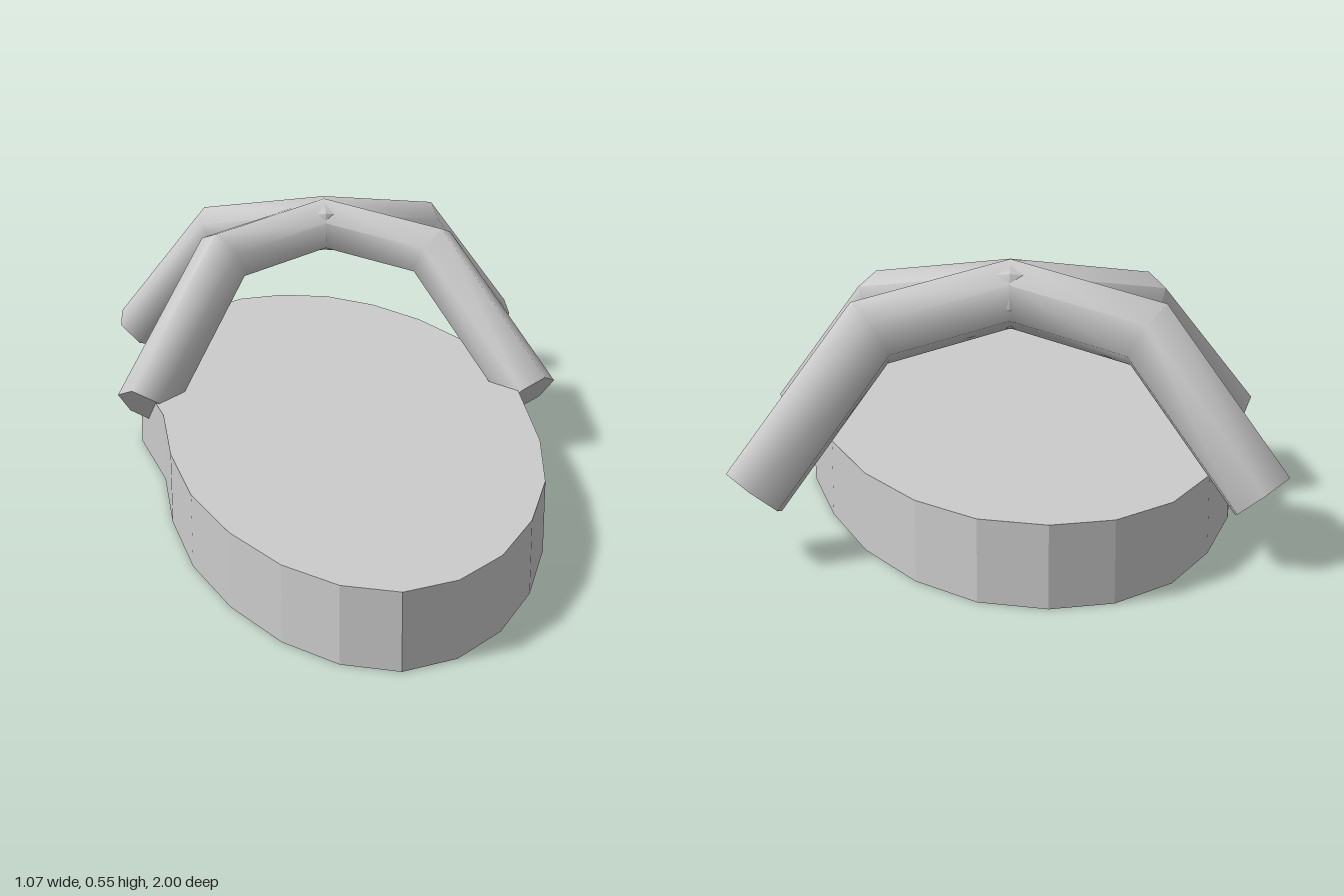
import * as THREE from 'three';
import { toCreasedNormals } from 'three/addons/utils/BufferGeometryUtils.js';

const grey = new THREE.MeshStandardMaterial({ color: 0xcccccc });
const SIDES = 6, RADIUS = 0.07;

// Hexagonal tube along a polyline, with mitred bends and closed ends
function mitredTube(path) {
  const last = path.length - 1;
  const dirs = path.slice(1).map((p, i) => p.clone().sub(path[i]).normalize());
  const u = new THREE.Vector3(0, 1, 0).projectOnPlane(dirs[0]).normalize();
  const v = dirs[0].clone().cross(u);
  const pos = [], index = [];
  let ring = [];
  for (let j = 0; j < SIDES; j++) {
    const a = j / SIDES * Math.PI * 2;
    ring.push(path[0].clone().addScaledVector(u, RADIUS * Math.cos(a)).addScaledVector(v, RADIUS * Math.sin(a)));
  }
  path.forEach((p, i) => {
    if (i > 0) {
      // slide the ring along the segment onto the next mitre plane
      const d = dirs[i - 1];
      const n = i < last ? d.clone().add(dirs[i]).normalize() : d;
      ring = ring.map(q => q.clone().addScaledVector(d, p.clone().sub(q).dot(n) / d.dot(n)));
    }
    ring.forEach(q => pos.push(q.x, q.y, q.z));
    for (let j = 0; i < last && j < SIDES; j++) {
      const a = i * SIDES + j, b = i * SIDES + (j + 1) % SIDES;
      index.push(a, b, b + SIDES, a, b + SIDES, a + SIDES);
    }
  });
  const e = last * SIDES;
  for (let j = 1; j < SIDES - 1; j++) index.push(0, j + 1, j, e, e + j, e + j + 1);
  const geo = new THREE.BufferGeometry();
  geo.setAttribute('position', new THREE.Float32BufferAttribute(pos, 3));
  geo.setIndex(index);
  return toCreasedNormals(geo, 1.1);
}

// Symmetric strap: foot and knee on the left, apex, then mirrored on the right
function strap(name, foot, knee, apex) {
  const path = [foot, knee, apex].map(p => new THREE.Vector3(...p));
  for (const [x, y, z] of [knee, foot]) path.push(new THREE.Vector3(-x, y, z));
  const mesh = new THREE.Mesh(mitredTube(path), grey);
  mesh.name = name;
  return mesh;
}

export function createModel() {
  const group = new THREE.Group();
  group.name = 'sandal';

  // Sole outline (x, z), from the toe round the left side to the heel and back
  const outline = [
    [0, 1], [0.11, 0.96], [0.21, 0.86], [0.3, 0.7], [0.37, 0.5], [0.41, 0.26], [0.425, 0],
    [0.44, -0.26], [0.37, -0.5], [0.28, -0.71], [0.17, -0.87], [0.05, -0.97], [-0.08, -1],
    [-0.2, -0.97], [-0.31, -0.87], [-0.39, -0.71], [-0.45, -0.5], [-0.48, -0.26],
    [-0.425, 0], [-0.41, 0.26], [-0.37, 0.5], [-0.3, 0.7], [-0.21, 0.86], [-0.11, 0.96],
  ];
  const shape = new THREE.Shape(outline.map(([x, z]) => new THREE.Vector2(x, -z)));
  const soleGeo = new THREE.ExtrudeGeometry(shape, { depth: 0.16, bevelEnabled: false });
  soleGeo.rotateX(-Math.PI / 2);
  const sole = new THREE.Mesh(soleGeo, grey);
  sole.name = 'sole';
  group.add(sole);

  // Two straps meeting above the instep
  const apex = [0, 0.48, -0.535];
  group.add(strap('frontStrap', [0.47, 0.135, -0.13], [0.265, 0.43, -0.405], apex));
  group.add(strap('rearStrap', [0.485, 0.14, -0.775], [0.27, 0.43, -0.67], apex));
  return group;
}
